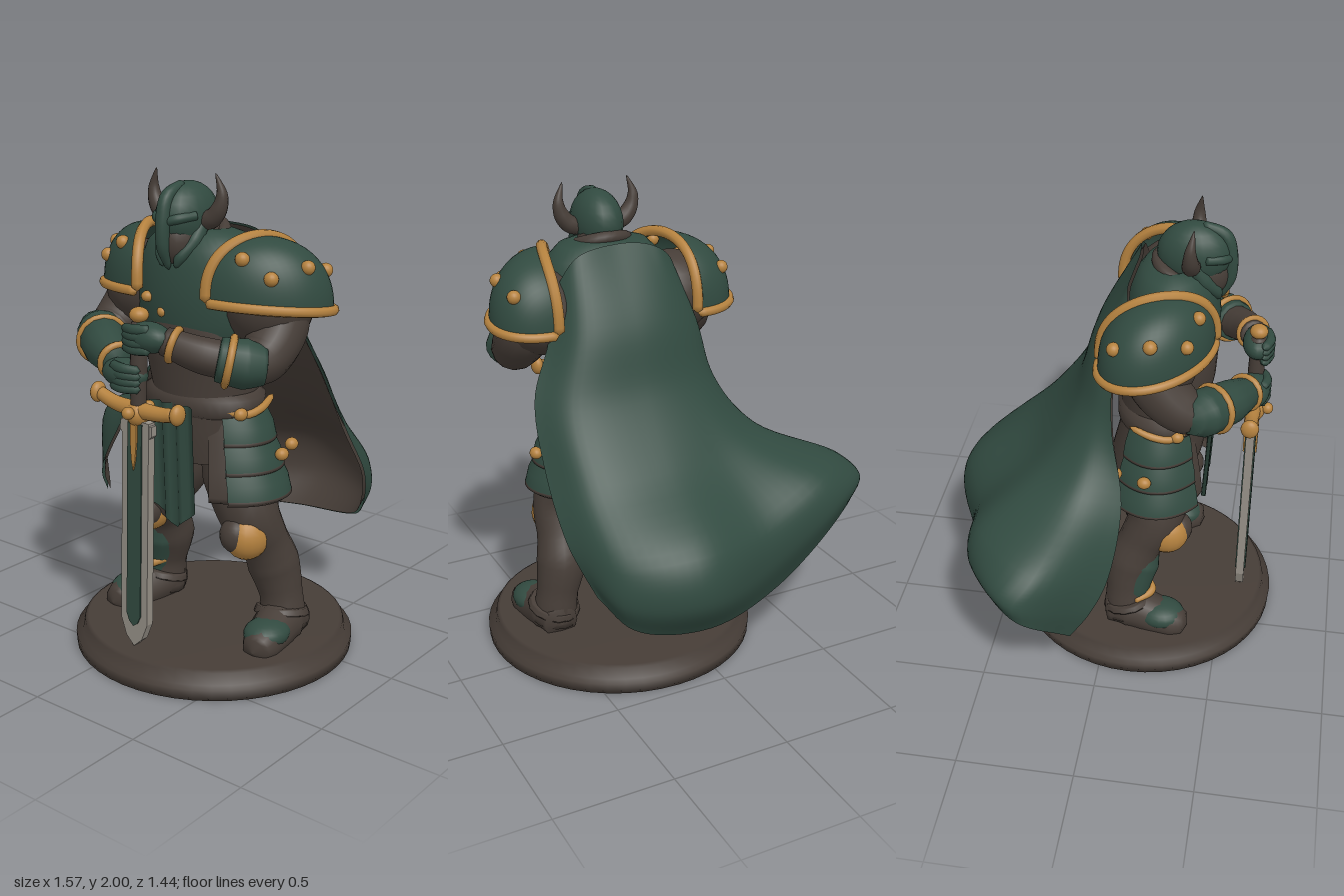
import * as THREE from 'three';
import { mergeVertices } from 'three/addons/utils/BufferGeometryUtils.js';

const V = (x, y, z) => new THREE.Vector3(x, y, z);
const CX = 0.2; // the figure's own centre line

export function createModel() {
  const green = new THREE.MeshStandardMaterial({ color: 0x314a40, side: THREE.DoubleSide, name: 'greenArmour' });
  const brown = new THREE.MeshStandardMaterial({ color: 0x463d37, side: THREE.DoubleSide, name: 'darkBrown' });
  const gold = new THREE.MeshStandardMaterial({ color: 0xb5823f, name: 'gold' });
  const steel = new THREE.MeshStandardMaterial({ color: 0x958f86, name: 'steel' });
  const model = new THREE.Group();
  model.name = 'hornedKnight';

  const add = (name, geo, mat, pos = [0, 0, 0], scale = [1, 1, 1], parent = model) => {
    const m = new THREE.Mesh(geo, mat);
    m.name = name;
    m.position.set(...pos);
    m.scale.set(...scale);
    parent.add(m);
    return m;
  };
  const ball = (name, mat, pos, scale, parent) => add(name, new THREE.SphereGeometry(1, 20, 14), mat, pos, scale, parent);

  // Tapered tube through points [x, y, z, radius], closed at both ends
  const limb = (name, mat, pts, parent = model, seg = 24, sides = 14) => {
    const curve = new THREE.CatmullRomCurve3(pts.map(p => V(p[0], p[1], p[2])));
    let geo = new THREE.TubeGeometry(curve, seg, 1, sides);
    const pos = geo.attributes.position, v = V(0, 0, 0);
    for (let i = 0; i <= seg; i++) {
      const u = i / seg, c = curve.getPointAt(u), t = curve.getUtoTmapping(u) * (pts.length - 1);
      const k = Math.min(Math.floor(t), pts.length - 2), f = t - k;
      const r = i === 0 || i === seg ? 1e-4 : pts[k][3] * (1 - f) + pts[k + 1][3] * f;
      for (let j = 0; j <= sides; j++) {
        const n = i * (sides + 1) + j;
        v.fromBufferAttribute(pos, n).sub(c).multiplyScalar(r).add(c);
        pos.setXYZ(n, v.x, v.y, v.z);
      }
    }
    geo.deleteAttribute('uv');
    geo.deleteAttribute('normal');
    geo = mergeVertices(geo, 1e-5);
    geo.computeVertexNormals();
    return add(name, geo, mat, [0, 0, 0], [1, 1, 1], parent);
  };
  // Elliptical shell turned around the body, profile as [radius, height]
  const shell = (name, mat, prof, z, zs, from = 0, len = Math.PI * 2) =>
    add(name, new THREE.LatheGeometry(prof.map(p => new THREE.Vector2(...p)), 40, from, len), mat, [CX, 0, z], [1, 1, zs]);
  // Grid surface from a rule f(u, v) -> Vector3
  const surface = (nu, nv, f) => {
    const g = new THREE.PlaneGeometry(1, 1, nu, nv), p = g.attributes.position;
    for (let j = 0; j <= nv; j++) for (let i = 0; i <= nu; i++) p.setXYZ(j * (nu + 1) + i, ...f(i / nu, j / nv).toArray());
    g.computeVertexNormals();
    return g;
  };

  // Round base
  add('base', new THREE.LatheGeometry([[0, 0], [0.585, 0], [0.588, 0.045], [0.56, 0.052], [0.55, 0.1], [0.535, 0.108], [0, 0.11]]
    .map(p => new THREE.Vector2(...p)), 48), brown, [0.195, 0, 0.133]);

  // Cape: rows from collar to hem, each from the left edge round the back to the swept-out right edge
  const rows = [
    [[0.47, 1.62, 0.1], [0.38, 1.75, 0.07], [0.2, 1.78, 0.08], [0.08, 1.77, 0.07], [0.01, 1.74, 0.06], [-0.04, 1.69, 0.07], [-0.07, 1.62, 0.1]],
    [[0.53, 1.42, 0.04], [0.42, 1.47, -0.06], [0.2, 1.48, -0.09], [0.05, 1.48, -0.08], [-0.05, 1.46, -0.055], [-0.11, 1.44, -0.02], [-0.14, 1.42, 0.03]],
    [[0.62, 1.22, -0.02], [0.5, 1.2, -0.145], [0.2, 1.2, -0.18], [0, 1.2, -0.16], [-0.1, 1.2, -0.125], [-0.17, 1.2, -0.06], [-0.2, 1.2, 0.03]],
    [[0.64, 0.95, -0.16], [0.51, 0.94, -0.32], [0.2, 0.95, -0.36], [-0.05, 0.95, -0.32], [-0.24, 0.97, -0.25], [-0.36, 0.96, -0.1], [-0.32, 0.91, 0.09]],
    [[0.63, 0.72, -0.33], [0.5, 0.68, -0.57], [0.2, 0.7, -0.68], [-0.14, 0.7, -0.57], [-0.49, 0.82, -0.48], [-0.7, 0.8, -0.22], [-0.49, 0.64, 0.06]],
    [[0.6, 0.62, -0.4], [0.5, 0.53, -0.6], [0.2, 0.52, -0.72], [-0.16, 0.54, -0.59], [-0.54, 0.71, -0.51], [-0.78, 0.71, -0.29], [-0.57, 0.52, 0]],
    [[0.56, 0.52, -0.46], [0.45, 0.4, -0.57], [0.15, 0.35, -0.62], [-0.25, 0.38, -0.5], [-0.53, 0.58, -0.47], [-0.77, 0.62, -0.27], [-0.61, 0.41, -0.08]],
  ].map(r => new THREE.CatmullRomCurve3(r.map(p => V(...p)), false, 'centripetal'));
  const cape = surface(44, 44, (u, v) =>
    new THREE.CatmullRomCurve3(rows.map(r => r.getPoint(u)), false, 'centripetal').getPoint(v));
  add('cape', cape, green);
  const lining = cape.clone(), lp = lining.attributes.position, ln = cape.attributes.normal;
  for (let i = 0; i < lp.count; i++)
    lp.setXYZ(i, lp.getX(i) - 0.012 * ln.getX(i), lp.getY(i) - 0.012 * ln.getY(i), lp.getZ(i) - 0.012 * ln.getZ(i));
  add('capeLining', lining, brown);

  // Torso, breastplate and neck
  shell('torso', brown, [[0.2, 0.85], [0.23, 1.0], [0.22, 1.1], [0.25, 1.25], [0.26, 1.4], [0.22, 1.5]], 0.2, 0.84);
  shell('breastplate', green, [[0.255, 1.37], [0.28, 1.43], [0.285, 1.54], [0.27, 1.64], [0.24, 1.71], [0.19, 1.76], [0.12, 1.78], [0.08, 1.76]], 0.225, 0.68);
  limb('neck', brown, [[CX, 1.6, 0.18, 0.12], [CX, 1.7, 0.23, 0.12], [CX, 1.8, 0.28, 0.08]]);
  const collar = add('collar', new THREE.TorusGeometry(0.115, 0.026, 10, 32), brown, [CX, 1.745, 0.26]);
  collar.rotation.x = Math.PI / 2 + 0.4;
  for (const [x, y] of [[0.07, 1.51], [0.15, 1.46]]) ball('chestStud', gold, [x, y, 0.4], [0.025, 0.022, 0.025]);

  // Helmet with nose guard, cheek guards and horns
  const head = new THREE.Group();
  head.name = 'helmet';
  head.position.set(0.19, 1.8, 0.3);
  model.add(head);
  ball('helmetDome', green, [0, 0.025, 0], [0.103, 0.135, 0.15], head);
  ball('face', brown, [0, -0.06, 0.04], [0.085, 0.11, 0.105], head);
  limb('noseGuard', green, [[0, 0.15, 0.02, 0.02], [0, 0.11, 0.12, 0.027], [0, 0.02, 0.145, 0.03], [0, -0.08, 0.145, 0.026], [0, -0.17, 0.11, 0.01]], head);
  for (const s of [-1, 1]) {
    limb('brow', green, [[0, 0.015, 0.145, 0.018], [s * 0.05, 0.03, 0.12, 0.02], [s * 0.09, 0.04, 0.05, 0.018]], head);
    limb('cheekGuard', green, [[s * 0.08, 0.02, 0.0, 0.03], [s * 0.072, -0.06, 0.05, 0.033], [s * 0.045, -0.12, 0.1, 0.024], [s * 0.03, -0.16, 0.11, 0.008]], head);
    limb('horn', brown, [[s * 0.075, 0.01, 0.0, 0.036], [s * 0.12, 0.025, 0, 0.038], [s * 0.155, 0.065, 0, 0.032],
      [s * 0.168, 0.12, 0, 0.022], [s * 0.145, 0.2, 0.01, 0.002]], head);
  }

  for (const s of [-1, 1]) {
    const X = d => CX + s * d;
    // Pauldron: quarter dome with gold rims and studs
    const dome = (a, b) => { // a: front to back, b: upright rim to lower rim
      const c = Math.cos(a * Math.PI), k = Math.pow(Math.max(0, Math.sin(a * Math.PI)), 0.75), f = b * Math.PI / 2;
      return V(X(0.28 - 0.07 * c - 0.04 * c * c + 0.24 * k * Math.pow(Math.sin(f), 0.9)),
        1.5 + 0.025 * c + 0.265 * k * Math.pow(Math.max(0, Math.cos(f)), 0.9), 0.19 + 0.225 * c);
    };
    add('pauldron', surface(28, 18, dome), green);
    for (const b of [0, 1]) {
      const rim = [];
      for (let i = 0; i <= 16; i++) rim.push([...dome(i / 16, b).toArray(), b ? 0.02 : 0.023]);
      limb('pauldronRim', gold, rim, model, 48, 8);
    }
    for (const [a, b] of [[0.24, 0.3], [0.3, 0.68], [0.5, 0.6], [0.72, 0.55]])
      ball('pauldronStud', gold, dome(a, b).toArray(), [0.028, 0.028, 0.028]);
    ball('shoulder', brown, [X(0.3), 1.51, 0.19], [0.18, 0.18, 0.18]);

    // Leg, knee plate and boot
    limb('leg', brown, [[X(0.12), 0.95, 0.18, 0.13], [X(0.16), 0.78, 0.18, 0.15], [X(0.23), 0.63, 0.2, 0.125], [X(0.265), 0.5, 0.14, 0.1],
      [X(0.28), 0.4, 0.1, 0.11], [X(0.31), 0.27, 0.085, 0.09], [X(0.33), 0.1, 0.09, 0.1]], model, 32, 16);
    ball('kneePlate', gold, [X(0.255), 0.56, 0.25], [0.09, 0.1, 0.1]);
    ball('kneeBoss', brown, [X(0.235), 0.57, 0.295], [0.068, 0.075, 0.068]);
    limb('bootCuff', brown, [[X(0.32), 0.22, 0.09, 0.1], [X(0.325), 0.18, 0.1, 0.12]], model, 6);
    limb('boot', brown, [[X(0.33), 0.145, -0.01, 0.07], [X(0.33), 0.16, 0.1, 0.1], [X(0.35), 0.14, 0.22, 0.09], [X(0.37), 0.13, 0.31, 0.078], [X(0.375), 0.12, 0.37, 0.045]]);
    ball('instepPlate', green, [X(0.36), 0.165, 0.25], [0.09, 0.058, 0.105]);

    // Layered hip plates with dark hems
    for (let i = 0; i < 3; i++) {
      const y = 1.08 - 0.11 * i, r = 0.26 + 0.035 * i, from = s * 1.5 - 0.76;
      shell('hipPlate', green, [[r, y], [r + 0.04, y - 0.07], [r + 0.053, y - 0.122]], 0.19, 0.68, from, 1.52);
      shell('hipPlateHem', brown, [[r + 0.053, y - 0.122], [r + 0.057, y - 0.132], [r + 0.04, y - 0.145]], 0.19, 0.68, from, 1.52);
    }
    for (const [dx, y, z] of [[0.355, 0.9, 0.16], [0.31, 0.9, 0.03], [0.24, 1.07, 0.28]])
      ball('hipStud', gold, [X(dx), y, z], [0.026, 0.026, 0.03]);
    limb('beltTrim', gold, [[X(0.17), 1.09, 0.34, 0.012], [X(0.25), 1.065, 0.26, 0.017], [X(0.268), 1.08, 0.18, 0.017], [X(0.25), 1.11, 0.08, 0.012]], model, 12, 8);
  }
  // Shin guard on the right leg
  limb('shinGuard', green, [[-0.065, 0.5, 0.17, 0.06], [-0.085, 0.4, 0.14, 0.09], [-0.115, 0.27, 0.115, 0.075], [-0.12, 0.2, 0.12, 0.06]]);
  limb('shinBand', gold, [[-0.19, 0.24, 0.13, 0.014], [-0.12, 0.26, 0.2, 0.02], [-0.05, 0.29, 0.15, 0.014]]);

  // Skirt, belt and front cloth
  shell('skirt', brown, [[0.24, 1.12], [0.28, 0.98], [0.33, 0.84], [0.355, 0.74], [0.34, 0.715], [0.3, 0.74]], 0.19, 0.65, 0.5, Math.PI * 2 - 1);
  shell('belt', brown, [[0.23, 1.04], [0.265, 1.06], [0.265, 1.12], [0.23, 1.14]], 0.2, 0.76);
  add('frontCloth', surface(10, 14, (u, v) => V(0.09 + 0.22 * u, 1.1 - v * (0.44 + 0.09 * (1 - Math.abs(2 * u - 1))), 0.41 + 0.012 * Math.cos(u * 19) - 0.02 * v)), green);

  // Arms: the left hand rests on top of the right
  limb('leftUpperArm', brown, [[0.5, 1.55, 0.18, 0.13], [0.56, 1.43, 0.21, 0.12], [0.57, 1.33, 0.31, 0.1], [0.555, 1.305, 0.41, 0.08]]);
  limb('rightUpperArm', brown, [[-0.1, 1.55, 0.18, 0.13], [-0.17, 1.43, 0.21, 0.12], [-0.195, 1.335, 0.31, 0.1], [-0.18, 1.305, 0.41, 0.08]]);
  limb('leftForearm', brown, [[0.575, 1.31, 0.36, 0.075], [0.435, 1.35, 0.5, 0.072], [0.28, 1.4, 0.565, 0.054]]);
  limb('leftElbowGuard', green, [[0.62, 1.31, 0.35, 0.07], [0.555, 1.32, 0.41, 0.098], [0.465, 1.34, 0.475, 0.085]], model, 16);
  limb('rightForearm', green, [[-0.275, 1.34, 0.345, 0.06], [-0.195, 1.32, 0.39, 0.1], [-0.07, 1.3, 0.49, 0.09], [0.065, 1.265, 0.56, 0.062]]);
  const band = (pos, dir, r) => add('armBand', new THREE.TorusGeometry(r, 0.015, 8, 24), gold, pos)
    .quaternion.setFromUnitVectors(V(0, 0, 1), V(...dir).normalize());
  band([0.51, 1.33, 0.445], [-0.8, 0.2, 0.58], 0.092);
  band([0.33, 1.385, 0.55], [-0.8, 0.25, 0.34], 0.06);
  band([-0.14, 1.31, 0.435], [0.8, -0.13, 0.6], 0.094);
  band([0.04, 1.275, 0.547], [0.85, -0.2, 0.44], 0.068);
  for (const [name, x, y, s] of [['leftHand', 0.2, 1.405, 1], ['rightHand', 0.14, 1.245, -1]]) {
    ball(name, green, [x + s * 0.03, y, 0.58], [0.105, 0.06, 0.066]);
    for (let i = 0; i < 4; i++)
      limb('finger', green, [[x + s * 0.07, y + 0.036 - i * 0.026, 0.61, 0.02], [x, y + 0.034 - i * 0.026, 0.63, 0.021],
        [x - s * 0.07, y + 0.028 - i * 0.024, 0.605, 0.018]], model, 10, 8);
  }

  // Sword standing on its point
  const sword = new THREE.Group();
  sword.name = 'sword';
  sword.position.set(0.15, 0.11, 0.58);
  sword.rotation.z = -0.025;
  model.add(sword);
  const plate = (name, mat, w, y0, y1, tip, d) => {
    const shape = new THREE.Shape([[0, y0], [w * 0.6, y0 + tip * 0.35], [w, y0 + tip], [w, y1], [-w, y1], [-w, y0 + tip], [-w * 0.6, y0 + tip * 0.35]]
      .map(p => new THREE.Vector2(...p)));
    add(name, new THREE.ExtrudeGeometry(shape, { depth: d, bevelEnabled: false }), mat, [0, 0, -d / 2], [1, 1, 1], sword);
  };
  plate('bladeEdge', steel, 0.068, 0, 0.96, 0.11, 0.036);
  plate('bladeFuller', green, 0.036, 0.09, 0.95, 0.05, 0.046);
  plate('bladeRicasso', steel, 0.08, 0.86, 0.95, 0.05, 0.03);
  plate('bladeOrnament', gold, 0.016, 0.76, 0.96, 0.12, 0.06);
  limb('grip', brown, [[0, 0.98, 0, 0.03], [0, 1.18, 0, 0.034], [0, 1.36, 0, 0.03]], sword);
  limb('guard', gold, [[-0.22, 1.035, 0, 0.026], [-0.12, 1.005, 0, 0.029], [0, 1.0, 0, 0.034], [0.12, 1.005, 0, 0.029], [0.2, 1.02, 0, 0.026]], sword);
  for (const [x, y] of [[-0.21, 1.03], [0.195, 1.02]]) ball('guardKnob', gold, [x, y, 0], [0.026, 0.042, 0.038], sword);
  ball('guardBoss', gold, [0, 0.985, 0], [0.045, 0.05, 0.05], sword);
  for (const z of [-0.06, 0.06]) ball('guardStud', gold, [0, 1.0, z], [0.025, 0.025, 0.025], sword);
  limb('pommelNeck', gold, [[0, 1.32, 0, 0.02], [0, 1.38, 0, 0.018]], sword, 8);
  ball('pommel', gold, [0, 1.375, 0], [0.038, 0.03, 0.038], sword);
  return model;
}
